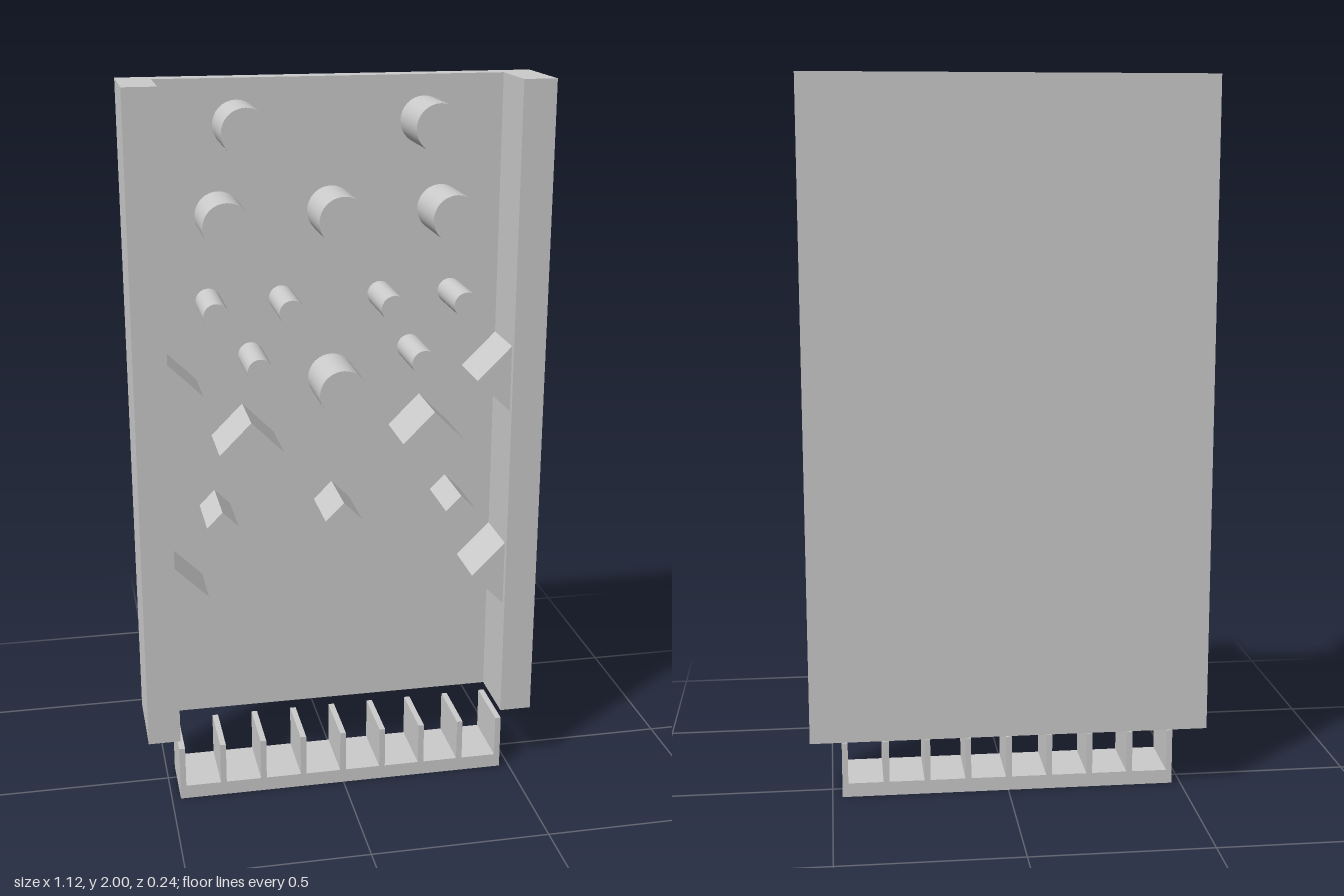
import * as THREE from 'three';

const FLOOR = -0.06, FRONT = 0.12;

export function createModel() {
  const group = new THREE.Group();
  const material = new THREE.MeshStandardMaterial({ color: 0xcccccc });

  const add = (name, geometry) => {
    const mesh = new THREE.Mesh(geometry, material);
    mesh.name = name;
    group.add(mesh);
  };

  // Extrude an outline of [x, y] corners from z0 to z1
  const prism = (name, points, z0, z1) => {
    const shape = new THREE.Shape(points.map(([x, y]) => new THREE.Vector2(x, y)));
    const geometry = new THREE.ExtrudeGeometry(shape, { depth: z1 - z0, bevelEnabled: false });
    add(name, geometry.translate(0, 0, z0));
  };

  const box = (name, x0, x1, y0, y1, z0, z1) =>
    add(name, new THREE.BoxGeometry(x1 - x0, y1 - y0, z1 - z0)
      .translate((x0 + x1) / 2, (y0 + y1) / 2, (z0 + z1) / 2));

  // Board: a U-shaped channel section, extruded upwards
  const section = new THREE.Shape([
    [-0.56, -0.12], [0.56, -0.12], [0.56, FRONT], [0.47, FRONT],
    [0.47, FLOOR], [-0.47, FLOOR], [-0.47, FRONT], [-0.56, FRONT],
  ].map(([x, z]) => new THREE.Vector2(x, -z)));
  add('board', new THREE.ExtrudeGeometry(section, { depth: 1.815, bevelEnabled: false })
    .rotateX(-Math.PI / 2).translate(0, 0.185, 0));

  // Round pegs: x, y, radius
  const pegs = [
    [-0.252, 1.88, 0.064], [0.252, 1.88, 0.064],
    [-0.305, 1.643, 0.064], [0, 1.647, 0.066], [0.302, 1.643, 0.064],
    [0, 1.181, 0.066],
    [-0.338, 1.411, 0.035], [-0.138, 1.411, 0.035],
    [0.136, 1.411, 0.035], [0.335, 1.411, 0.035],
    [-0.225, 1.256, 0.035], [0.222, 1.256, 0.035],
  ];
  for (const [x, y, r] of pegs) {
    add('roundPeg', new THREE.CylinderGeometry(r, r, FRONT - FLOOR, 32)
      .rotateX(Math.PI / 2).translate(x, y, (FRONT + FLOOR) / 2));
  }

  // Diamond pegs: x, y, half diagonal
  const diamonds = [
    [-0.252, 1.03, 0.087], [0.252, 1.03, 0.087],
    [-0.335, 0.825, 0.043], [0, 0.82, 0.051], [0.333, 0.825, 0.043],
  ];
  for (const [x, y, h] of diamonds) {
    prism('diamondPeg', [[x - h, y], [x, y - h], [x + h, y], [x, y + h]], FLOOR, FRONT);
  }

  // Wedge deflectors on both side walls
  for (const y of [1.193, 0.615]) {
    prism('rightDeflector', [[-0.47, y - 0.093], [-0.376, y], [-0.47, y + 0.093]], FLOOR, 0.102);
    prism('leftDeflector', [[0.47, y - 0.093], [0.47, y + 0.093], [0.376, y]], FLOOR, 0.102);
  }

  // Collecting tray: a base with nine evenly spaced dividers
  box('trayBase', -0.475, 0.472, 0, 0.04, FLOOR, FRONT);
  for (let i = 0; i < 9; i++) {
    const x = -0.475 + i * 0.1163;
    box('trayDivider', x, x + 0.0166, 0.04, 0.16, FLOOR, FRONT);
  }

  return group;
}
